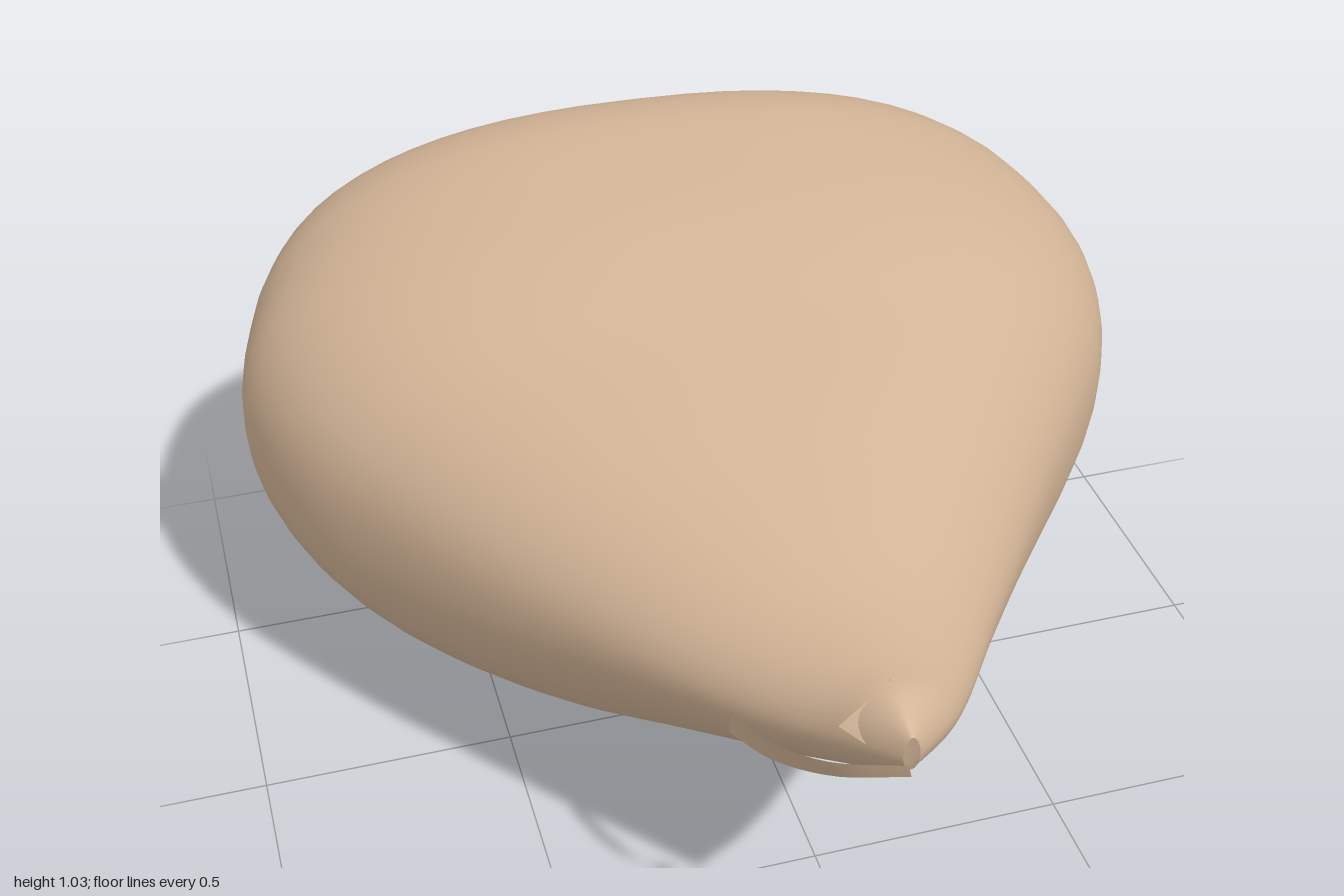
import * as THREE from 'three';

// Cross-sections from back to front: z, right half-width, left half-width, bottom, widest height, top
const SECTIONS = [
  [-1.0, 0, 0, 0.68, 0.68, 0.68],
  [-0.98, 0.27, 0.25, 0.59, 0.68, 0.8],
  [-0.95, 0.47, 0.44, 0.51, 0.67, 0.865],
  [-0.9, 0.64, 0.62, 0.41, 0.65, 0.93],
  [-0.8, 0.79, 0.78, 0.26, 0.61, 1.0],
  [-0.7, 0.855, 0.855, 0.15, 0.58, 1.03],
  [-0.6, 0.89, 0.893, 0.085, 0.565, 1.035],
  [-0.45, 0.918, 0.914, 0.025, 0.56, 1.02],
  [-0.3, 0.89, 0.89, 0.005, 0.56, 1.0],
  [-0.15, 0.825, 0.83, 0.015, 0.56, 0.968],
  [0.0, 0.73, 0.73, 0.05, 0.565, 0.93],
  [0.2, 0.59, 0.58, 0.14, 0.575, 0.885],
  [0.4, 0.44, 0.435, 0.265, 0.59, 0.835],
  [0.6, 0.29, 0.295, 0.395, 0.61, 0.785],
  [0.7, 0.215, 0.23, 0.46, 0.625, 0.767],
  [0.8, 0.135, 0.165, 0.53, 0.645, 0.76],
  [0.88, 0.075, 0.105, 0.59, 0.67, 0.76],
  [0.96, 0.015, 0.015, 0.66, 0.69, 0.73],
];
const RING = 64, STEPS = 4;

// Smooth interpolation between neighbouring sections
function sectionAt(t) {
  const last = SECTIONS.length - 1;
  const i = Math.min(Math.floor(t), last - 1), f = t - i;
  const at = (k) => SECTIONS[Math.max(0, Math.min(last, k))];
  return SECTIONS[0].map((_, c) => {
    const [a, b, d, e] = [at(i - 1)[c], at(i)[c], at(i + 1)[c], at(i + 2)[c]];
    return b + 0.5 * f * (d - a + f * (2 * a - 5 * b + 4 * d - e + f * (3 * (b - d) + e - a)));
  });
}

// Joins rows of points into a surface; rows may wrap round into rings
function skin(rows, wrap) {
  const n = rows[0].length, index = [];
  for (let i = 0; i < rows.length - 1; i++) {
    for (let j = 0; j < (wrap ? n : n - 1); j++) {
      const k = (j + 1) % n;
      const a = i * n + j, b = i * n + k, c = a + n, d = b + n;
      index.push(a, b, d, a, d, c);
    }
  }
  const geometry = new THREE.BufferGeometry();
  geometry.setAttribute('position', new THREE.Float32BufferAttribute(rows.flat(2), 3));
  geometry.setIndex(index);
  geometry.computeVertexNormals();
  return geometry;
}

function bodyGeometry() {
  const rows = [];
  const power = (v, e) => Math.sign(v) * Math.abs(v) ** e;
  for (let s = 0; s <= (SECTIONS.length - 1) * STEPS; s++) {
    const [z, right, left, bottom, middle, top] = sectionAt(s / STEPS);
    const row = [];
    for (let j = 0; j < RING; j++) {
      const angle = (j / RING) * Math.PI * 2;
      const c = Math.cos(angle), sn = Math.sin(angle);
      // full shoulders at the back, a plainer oval towards the tip
      const round = 2 / THREE.MathUtils.lerp(sn > 0 ? 2.4 : 2.25, 1.8, THREE.MathUtils.smoothstep(z, -0.3, 0.9));
      const px = power(c, round), py = power(sn, round);
      const x = px * (px > 0 ? left : right);
      // the crown leans slightly to one side
      const lean = py > 0 ? -0.022 * x * py : 0;
      row.push([x, middle + py * (py > 0 ? top - middle : middle - bottom) + lean, z]);
    }
    rows.push(row);
  }
  return skin(rows, true);
}

// Thin loose lip beside the split tip
function lipGeometry() {
  const curve = (points) => new THREE.CatmullRomCurve3(points.map((p) => new THREE.Vector3(...p)));
  const upper = curve([[-0.23, 0.61, 0.67], [-0.2, 0.62, 0.77], [-0.13, 0.66, 0.9], [-0.02, 0.71, 1.0]]);
  const lower = curve([[-0.22, 0.54, 0.67], [-0.18, 0.56, 0.77], [-0.11, 0.62, 0.9], [-0.015, 0.685, 1.0]]);
  const rows = [upper, lower].map((c) => c.getPoints(16).map((p) => p.toArray()));
  return skin(rows, false);
}

// Small jagged folds around the opening
function foldGeometry(side) {
  return skin([
    [[0, 0.765, 0.85], [side * 0.05, 0.74, 0.87], [side * 0.095, 0.7, 0.87]],
    [[0, 0.73, 0.96], [side * 0.025, 0.71, 0.91], [side * 0.05, 0.675, 0.91]],
  ], false);
}

export function createModel() {
  const group = new THREE.Group();
  group.name = 'taperedPod';
  const tan = new THREE.MeshStandardMaterial({ color: 0xd2b496, side: THREE.DoubleSide });
  tan.name = 'tan';
  const add = (name, geometry) => {
    const mesh = new THREE.Mesh(geometry, tan);
    mesh.name = name;
    group.add(mesh);
  };
  add('body', bodyGeometry());
  add('looseLip', lipGeometry());
  add('leftTipFold', foldGeometry(1));
  add('rightTipFold', foldGeometry(-1));
  return group;
}
